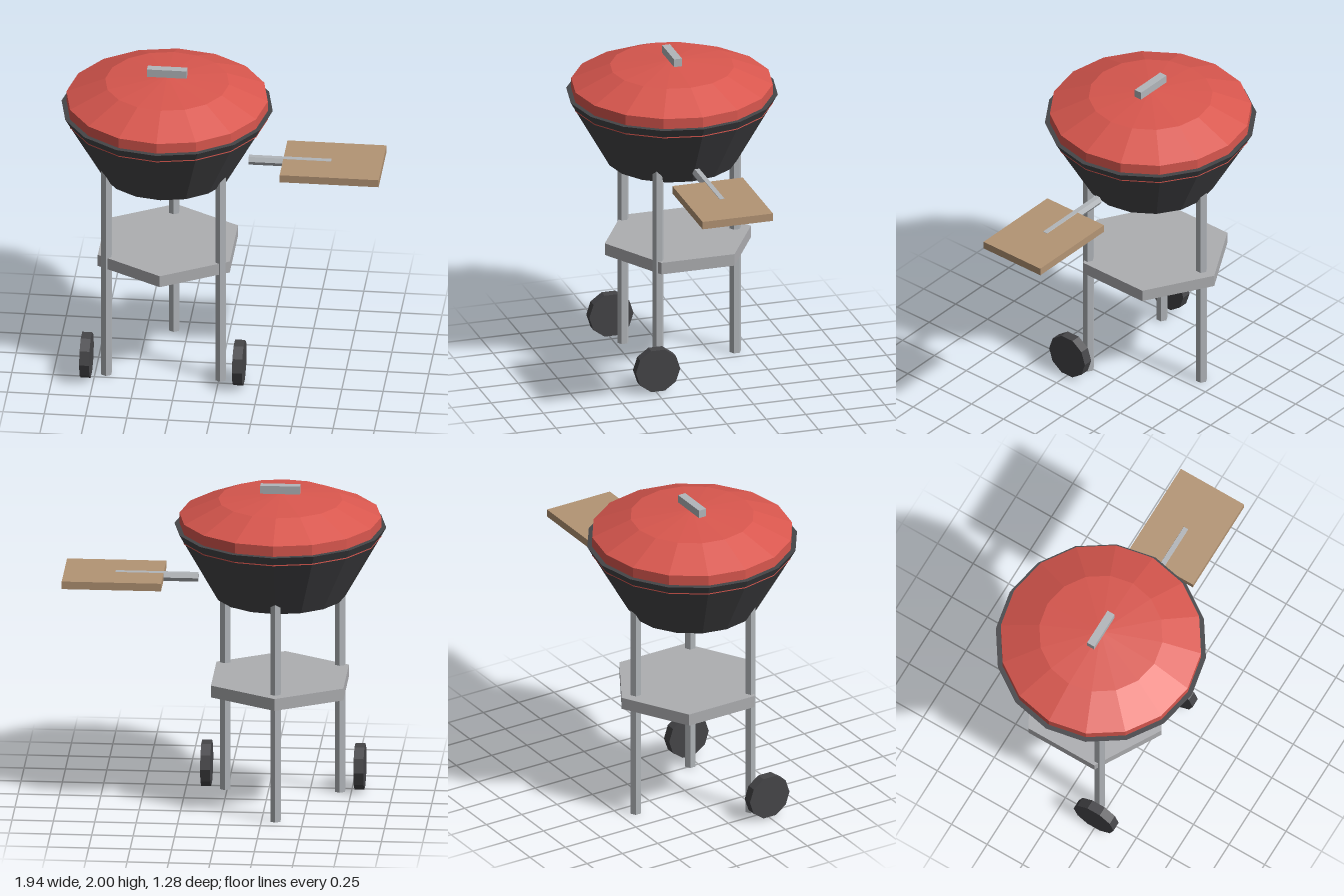
import * as THREE from 'three';

const red = new THREE.MeshStandardMaterial({ color: 0xd9574e });
red.name = 'lid red';
const black = new THREE.MeshStandardMaterial({ color: 0x454548 });
black.name = 'charcoal black';
const steel = new THREE.MeshStandardMaterial({ color: 0xb2b6ba });
steel.name = 'steel';
const grey = new THREE.MeshStandardMaterial({ color: 0xadaeb1 });
grey.name = 'shelf grey';
const wood = new THREE.MeshStandardMaterial({ color: 0xb39474 });
wood.name = 'wood';

const CX = -0.335; // kettle axis

// Gives every face its own normal for the low-poly look
function faceted(geometry) {
  const flat = geometry.index ? geometry.toNonIndexed() : geometry;
  flat.computeVertexNormals();
  return flat;
}

export function createModel() {
  const group = new THREE.Group();
  group.name = 'kettleGrill';

  function add(name, geometry, material, x, y, z) {
    const mesh = new THREE.Mesh(faceted(geometry), material);
    mesh.name = name;
    mesh.position.set(x, y, z);
    group.add(mesh);
    return mesh;
  }
  const lathe = (points) =>
    new THREE.LatheGeometry(points.map(([r, y]) => new THREE.Vector2(r, y)), 16);

  // Kettle: tapered bowl, and a lid whose lower rim just breaks the bowl wall
  add('bowl', new THREE.CylinderGeometry(0.64, 0.395, 0.435, 16), black, CX, 1.5275, 0);
  add('lid', lathe([[0, 1.685], [0.61, 1.685], [0.61, 1.81], [0.375, 1.912], [0, 1.953]]), red, CX, 0, 0);
  add('lidHandle', new THREE.BoxGeometry(0.24, 0.05, 0.05), steel, CX, 1.975, 0);

  // Three hexagonal legs, one at the back
  const legHeight = 1.42;
  ['backLeg', 'leftLeg', 'rightLeg'].forEach((name, i) => {
    const a = Math.PI - i * Math.PI * 2 / 3;
    add(name, new THREE.CylinderGeometry(0.035, 0.035, legHeight, 6), steel,
      CX + 0.4 * Math.sin(a), legHeight / 2, 0.4 * Math.cos(a));
  });

  // Lower shelf
  add('shelf', new THREE.CylinderGeometry(0.462, 0.462, 0.075, 6), grey, CX, 0.768, -0.037);

  // Wheels beside the front legs
  for (const side of [-1, 1]) {
    const wheel = new THREE.CylinderGeometry(0.14, 0.14, 0.06, 10).rotateZ(Math.PI / 2);
    add(side > 0 ? 'leftWheel' : 'rightWheel', wheel, black, CX + side * 0.463, 0.145, 0.245);
  }

  // Side table on its support rod
  const rod = new THREE.CylinderGeometry(0.03, 0.03, 0.5, 6).rotateZ(Math.PI / 2);
  add('tableRod', rod, steel, 0.41, 1.405, 0);
  add('sideTable', new THREE.BoxGeometry(0.6, 0.048, 0.445), wood, 0.67, 1.405, 0);

  return group;
}
